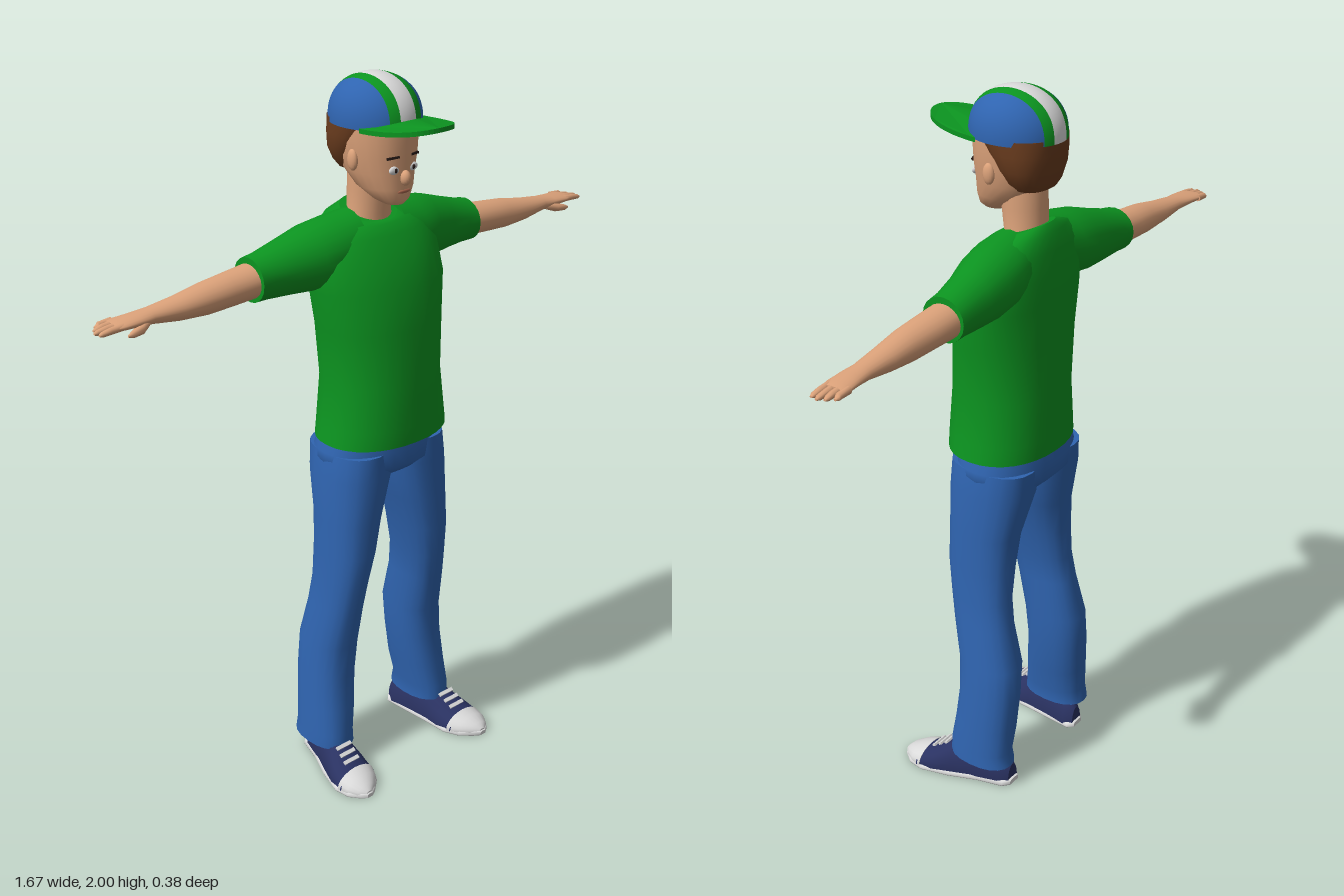
import * as THREE from 'three';

const mat = (name, color) => {
  const m = new THREE.MeshStandardMaterial({ color, side: THREE.DoubleSide });
  m.name = name;
  return m;
};

// Superellipse cross-section across an axis: [t, centreA, radiusA, centreB, radiusB, tilt]
function section(axis, [t, a0, ra, b0, rb, tilt = 0], power, side, n) {
  const pts = [];
  const bend = v => Math.sign(v) * Math.pow(Math.abs(v), 2 / power);
  for (let i = 0; i < n; i++) {
    const u = (i / n) * Math.PI * 2;
    const a = a0 + ra * bend(Math.cos(u)), b = b0 + rb * bend(Math.sin(u));
    const s = t + tilt * Math.sin(u);
    const p = axis === 'y' ? [a, s, b] : axis === 'x' ? [s, a, b] : [a, Math.max(b, 0.004), s];
    pts.push([p[0] * side, p[1], p[2]]);
  }
  return pts;
}

// Closed smooth skin through cross-sections, with flat ends facing outward
function loft(axis, rows, { power = 2, side = 1, n = 24 } = {}) {
  const rings = rows.map(r => section(axis, r, power, side, n));
  const pos = rings.flat(2), idx = [];
  for (let r = 0; r < rings.length - 1; r++)
    for (let i = 0; i < n; i++) {
      const a = r * n + i, b = r * n + (i + 1) % n;
      idx.push(a, b, a + n, b, b + n, a + n);
    }
  [rings[0], rings[rings.length - 1]].forEach((ring, end) => {
    const base = pos.length / 3;
    pos.push(...ring.flat());
    pos.push(...[0, 1, 2].map(k => ring.reduce((s, p) => s + p[k], 0) / n));
    for (let i = 0; i < n; i++) {
      const a = base + i, b = base + (i + 1) % n;
      idx.push(...(end ? [a, b, base + n] : [b, a, base + n]));
    }
  });
  // Orient by signed volume
  let volume = 0;
  const v = k => new THREE.Vector3().fromArray(pos, idx[k] * 3);
  for (let k = 0; k < idx.length; k += 3) volume += v(k).dot(v(k + 1).cross(v(k + 2)));
  if (volume < 0) idx.reverse();
  const g = new THREE.BufferGeometry();
  g.setAttribute('position', new THREE.Float32BufferAttribute(pos, 3));
  g.setIndex(idx);
  g.computeVertexNormals();
  return g;
}

export function createModel() {
  const model = new THREE.Group();
  const green = mat('shirt green', 0x0c9420), blue = mat('denim blue', 0x2f64b0);
  const skin = mat('skin', 0xdca27a), brown = mat('hair brown', 0x6a3c1e);
  const white = mat('white', 0xdadada), navy = mat('shoe navy', 0x2a3262);
  const dark = mat('dark brown', 0x2a1c18), lip = mat('lip', 0xa8664e);
  const add = (name, geometry, material) => {
    const m = new THREE.Mesh(geometry, material);
    m.name = name;
    model.add(m);
    return m;
  };
  const blob = (name, material, x, y, z, rx, ry, rz) =>
    add(name, new THREE.SphereGeometry(1, 16, 10).scale(rx, ry, rz).translate(x, y, z), material);

  // Shirt body with a collar lower at the front
  add('shirtBody', loft('y', [
    [1.03, 0, 0.192, -0.04, 0.147], [1.08, 0, 0.184, -0.04, 0.148],
    [1.2, 0, 0.168, -0.041, 0.146], [1.35, 0, 0.182, -0.046, 0.14],
    [1.46, 0, 0.2, -0.054, 0.132], [1.54, 0, 0.2, -0.07, 0.115],
    [1.595, 0, 0.18, -0.08, 0.095, -0.005], [1.63, 0, 0.135, -0.085, 0.08, -0.014],
    [1.642, 0, 0.08, -0.085, 0.064, -0.022]], { power: 2.2, n: 32 }), green);

  // Jeans seat
  add('jeansSeat', loft('y', [
    [1.06, 0, 0.17, -0.055, 0.115], [1.0, 0, 0.188, -0.056, 0.128],
    [0.95, 0, 0.192, -0.055, 0.124], [0.925, 0, 0.14, -0.055, 0.1]],
    { power: 2.3, n: 32 }), blue);

  for (const side of [1, -1]) {
    const part = side > 0 ? 'left' : 'right';
    const body = (name, axis, rows, material, power = 2, n = 20) =>
      add(part + name, loft(axis, rows, { power, side, n }), material);

    // Sleeve, arm and hand
    body('Sleeve', 'x', [
      [0.07, 1.57, 0.083, -0.085, 0.08], [0.14, 1.555, 0.09, -0.088, 0.088],
      [0.2, 1.547, 0.088, -0.095, 0.083], [0.27, 1.537, 0.075, -0.103, 0.07],
      [0.34, 1.528, 0.063, -0.107, 0.061], [0.378, 1.524, 0.059, -0.108, 0.062]], green);
    body('Arm', 'x', [
      [0.35, 1.523, 0.046, -0.11, 0.053], [0.45, 1.516, 0.043, -0.107, 0.049],
      [0.52, 1.511, 0.041, -0.106, 0.045], [0.6, 1.506, 0.031, -0.107, 0.038],
      [0.68, 1.506, 0.02, -0.11, 0.03], [0.72, 1.506, 0.016, -0.111, 0.034],
      [0.765, 1.505, 0.012, -0.114, 0.037], [0.785, 1.504, 0.009, -0.117, 0.034]], skin);
    [0.832, 0.835, 0.826, 0.812].forEach((tip, i) => {
      const z = -0.092 - i * 0.0175;
      body('Finger' + (i + 1), 'x', [
        [0.765, 1.505, 0.01, z, 0.01], [0.8, 1.503, 0.009, z, 0.0095],
        [tip - 0.008, 1.5, 0.007, z, 0.008], [tip, 1.499, 0.003, z, 0.004]], skin, 2, 8);
    });
    body('Thumb', 'x', [
      [0.69, 1.5, 0.012, -0.1, 0.016], [0.72, 1.491, 0.013, -0.082, 0.014],
      [0.75, 1.486, 0.009, -0.076, 0.009], [0.764, 1.485, 0.003, -0.074, 0.003]], skin, 2, 10);

    // Trouser leg
    body('JeansLeg', 'y', [
      [1.0, 0.098, 0.088, -0.056, 0.122], [0.93, 0.1, 0.097, -0.053, 0.12],
      [0.8, 0.122, 0.079, -0.042, 0.102], [0.7, 0.135, 0.069, -0.04, 0.098],
      [0.6, 0.147, 0.061, -0.047, 0.09], [0.52, 0.154, 0.061, -0.06, 0.089],
      [0.4, 0.16, 0.069, -0.087, 0.092], [0.3, 0.169, 0.069, -0.09, 0.09],
      [0.2, 0.178, 0.068, -0.083, 0.092], [0.12, 0.189, 0.062, -0.075, 0.094],
      [0.08, 0.189, 0.064, -0.078, 0.099]], blue, 2.3);

    // Shoe: pale sole and toe cap, dark upper, laces
    body('ShoeSole', 'z', [
      [-0.172, 0.165, 0.02, 0.008, 0.011], [-0.155, 0.167, 0.038, 0.008, 0.014],
      [-0.08, 0.18, 0.046, 0.008, 0.014], [0, 0.2, 0.06, 0.008, 0.014],
      [0.08, 0.213, 0.07, 0.008, 0.014], [0.125, 0.22, 0.056, 0.008, 0.014],
      [0.155, 0.225, 0.028, 0.008, 0.012], [0.167, 0.226, 0.01, 0.008, 0.008]], white, 3.5);
    body('ShoeUpper', 'z', [
      [-0.166, 0.165, 0.022, 0.015, 0.05], [-0.14, 0.168, 0.038, 0.015, 0.085],
      [-0.06, 0.184, 0.046, 0.015, 0.1], [0.0, 0.199, 0.056, 0.015, 0.088],
      [0.05, 0.208, 0.065, 0.015, 0.06], [0.1, 0.216, 0.064, 0.015, 0.036]], navy);
    body('ToeCap', 'z', [
      [0.088, 0.214, 0.067, 0.015, 0.043], [0.12, 0.219, 0.056, 0.015, 0.034],
      [0.148, 0.224, 0.034, 0.014, 0.022], [0.163, 0.226, 0.012, 0.012, 0.01]], white);
    for (let i = 0; i < 3; i++) {
      const lace = add(part + 'Lace' + (i + 1), new THREE.BoxGeometry(0.052, 0.006, 0.011), white);
      lace.position.set(side * (0.204 + i * 0.003), 0.094 - i * 0.0125, 0.026 + i * 0.02);
      lace.rotation.x = 0.56;
    }

    // Ear, eye and brow
    blob(part + 'Ear', skin, side * 0.095, 1.795, -0.035, 0.011, 0.028, 0.017);
    blob(part + 'Eye', white, side * 0.031, 1.773, 0.05, 0.017, 0.011, 0.007);
    blob(part + 'Pupil', dark, side * 0.03, 1.773, 0.056, 0.005, 0.006, 0.003);
    const brow = add(part + 'Brow', new THREE.BoxGeometry(0.034, 0.006, 0.008), dark);
    brow.position.set(side * 0.036, 1.806, 0.051);
    brow.rotation.set(0, side * 0.3, side * -0.08);
  }

  // Neck and head
  add('neck', loft('y', [
    [1.58, 0, 0.07, -0.085, 0.06], [1.64, 0, 0.06, -0.083, 0.056],
    [1.7, 0, 0.06, -0.078, 0.06], [1.76, 0, 0.06, -0.075, 0.06]]), skin);
  add('head', loft('y', [
    [1.677, 0, 0.026, 0.012, 0.03], [1.69, 0, 0.046, 0.002, 0.05],
    [1.72, 0, 0.07, -0.022, 0.077], [1.76, 0, 0.084, -0.044, 0.1],
    [1.8, 0, 0.094, -0.05, 0.11], [1.85, 0, 0.1, -0.055, 0.117],
    [1.9, 0, 0.1, -0.055, 0.117]], { power: 2.1 }), skin);
  blob('nose', skin, 0, 1.75, 0.058, 0.014, 0.02, 0.016);
  blob('mouth', lip, 0, 1.714, 0.053, 0.022, 0.005, 0.004);
  add('hair', loft('y', [
    [1.755, 0, 0.066, -0.108, 0.046], [1.775, 0, 0.084, -0.105, 0.06],
    [1.81, 0, 0.102, -0.1, 0.073], [1.85, 0, 0.108, -0.085, 0.094],
    [1.89, 0, 0.109, -0.07, 0.11]], { power: 2.3 }), brown);

  // Cap crown: bands running front to back
  const edges = [0, 1.1, 1.345, Math.PI - 1.345, Math.PI - 1.1, Math.PI];
  [blue, green, white, green, blue].forEach((material, i) => {
    const g = new THREE.SphereGeometry(1, 28, 8, 0, Math.PI, edges[i], edges[i + 1] - edges[i]);
    g.rotateX(-Math.PI / 2).rotateY(Math.PI / 2);
    const p = g.attributes.position;
    for (let k = 0; k < p.count; k++) p.setY(k, Math.pow(Math.max(p.getY(k), 0), 0.8));
    g.scale(0.115, 0.122, 0.129).translate(0, 1.878, -0.056);
    add('capBand' + (i + 1), g, material);
  });

  // Cap peak, drooping toward the sides
  const outline = new THREE.Shape();
  outline.moveTo(-0.103, 0.0);
  outline.bezierCurveTo(-0.105, 0.09, -0.085, 0.195, 0, 0.197);
  outline.bezierCurveTo(0.085, 0.195, 0.105, 0.09, 0.103, 0.0);
  outline.quadraticCurveTo(0, 0.085, -0.103, 0.0);
  const peak = new THREE.ExtrudeGeometry(outline, { depth: 0.012, bevelEnabled: false, curveSegments: 16 });
  peak.rotateX(Math.PI / 2);
  const q = peak.attributes.position;
  for (let k = 0; k < q.count; k++)
    q.setY(k, q.getY(k) + 1.895 + 0.06 * q.getZ(k) - 1.2 * q.getX(k) ** 2);
  peak.computeVertexNormals();
  add('capPeak', peak, green);

  return model;
}
